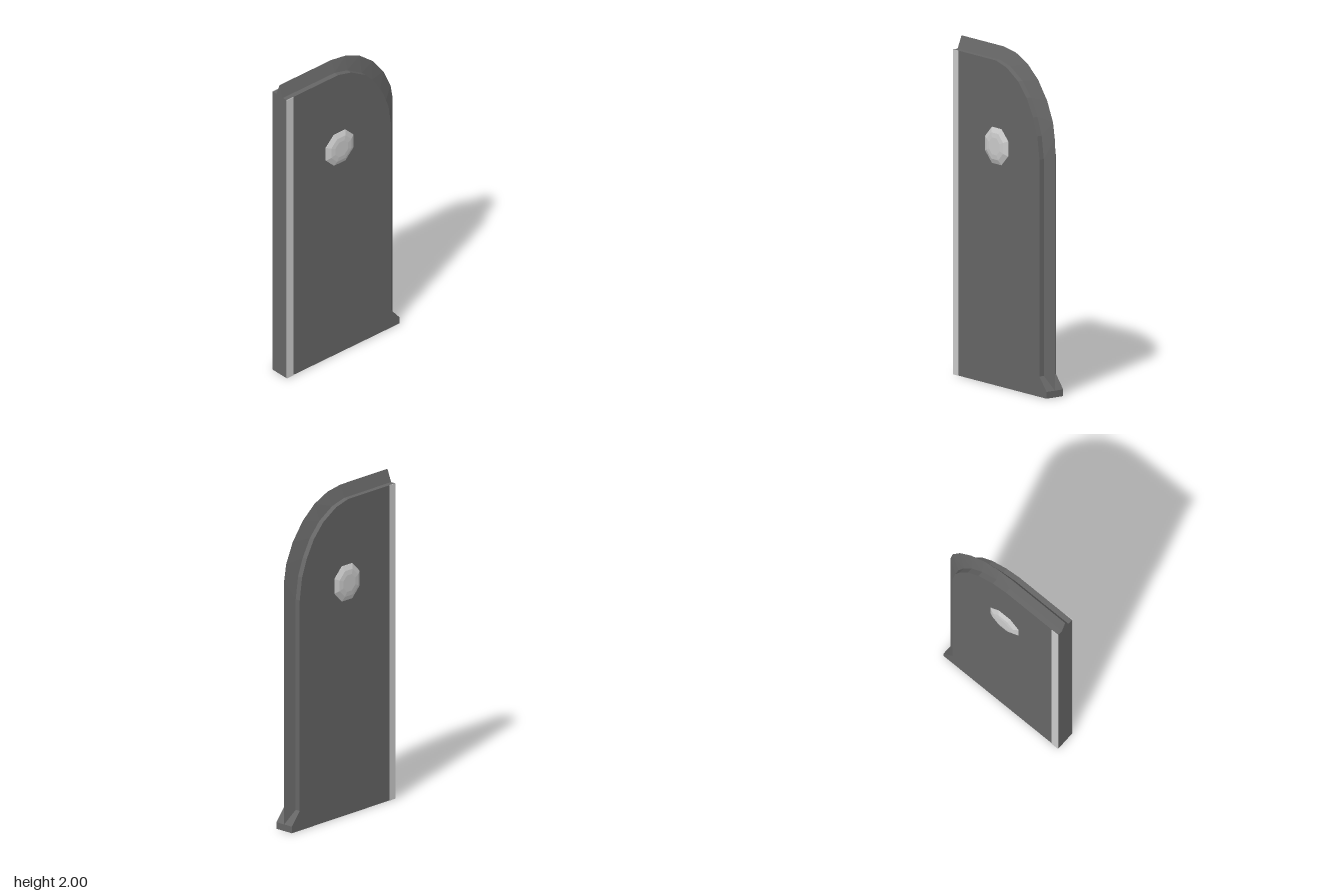
import * as THREE from 'three';

const dark = new THREE.MeshStandardMaterial({ color: 0x666666, flatShading: true });
const light = new THREE.MeshStandardMaterial({ color: 0xcccccc, flatShading: true });

const HALF = 0.061;       // half thickness of the blade body
const EDGE_HALF = 0.029;  // half thickness at the root of the cutting edge

// Matching stations along the root and the tip of the cutting edge
const root = [[-0.44, 1.925], [-0.04, 1.925], [0.06, 1.9], [0.17, 1.835], [0.25, 1.75],
  [0.31, 1.645], [0.35, 1.54], [0.37, 1.405], [0.37, 0.12]];
const tip = [[-0.44, 2], [-0.04, 2], [0.07, 1.983], [0.18, 1.935], [0.28, 1.855],
  [0.365, 1.745], [0.42, 1.625], [0.437, 1.527], [0.437, 0.04]];

function mesh(name, geometry, material) {
  const m = new THREE.Mesh(geometry, material);
  m.name = name;
  return m;
}

// Flat slab with a rounded shoulder and a small flared heel
function bodyGeometry() {
  const outline = [[-0.44, 0], [0.437, 0], [0.437, 0.04], ...[...root].reverse()];
  const shape = new THREE.Shape(outline.map(([x, y]) => new THREE.Vector2(x, y)));
  return new THREE.ExtrudeGeometry(shape, { depth: HALF * 2, bevelEnabled: false })
    .translate(0, 0, -HALF);
}

// Wedge section swept along the root and tip stations
function edgeGeometry() {
  const pos = [];
  const F = i => [...root[i], EDGE_HALF];
  const B = i => [...root[i], -EDGE_HALF];
  const O = i => [...tip[i], 0];
  const tri = (a, b, c) => pos.push(...a, ...b, ...c);
  const quad = (a, b, c, d) => { tri(a, b, c); tri(a, c, d); };
  for (let i = 0; i < root.length - 1; i++) {
    quad(F(i), F(i + 1), O(i + 1), O(i));
    quad(B(i), O(i), O(i + 1), B(i + 1));
  }
  tri(F(0), O(0), B(0));
  const g = new THREE.BufferGeometry();
  g.setAttribute('position', new THREE.Float32BufferAttribute(pos, 3));
  g.computeVertexNormals();
  return g;
}

// Eight-sided domed stud, flats facing up and sideways
function studGeometry() {
  const k = 1 / Math.cos(Math.PI / 8);
  const profile = [[0.107, 0], [0.107, 0.063], [0.078, 0.077], [0.05, 0.081], [0, 0.081]]
    .map(([r, y]) => new THREE.Vector2(r * k, y));
  return new THREE.LatheGeometry(profile, 8, Math.PI / 8).rotateX(Math.PI / 2);
}

export function createModel() {
  const group = new THREE.Group();
  group.name = 'blade';
  group.add(mesh('bladeBody', bodyGeometry(), dark));
  group.add(mesh('cuttingEdge', edgeGeometry(), dark));

  // Trim strip and stud on both faces
  for (const side of [1, -1]) {
    const label = side > 0 ? 'front' : 'back';
    const strip = mesh(label + 'SpineStrip', new THREE.BoxGeometry(0.05, 1.925, 0.004), light);
    strip.position.set(-0.415, 0.9625, side * (HALF + 0.001));
    group.add(strip);

    const stud = mesh(label + 'Stud', studGeometry(), light);
    stud.position.set(-0.03, 1.42, 0);
    if (side < 0) stud.rotation.y = Math.PI;
    group.add(stud);
  }
  return group;
}
